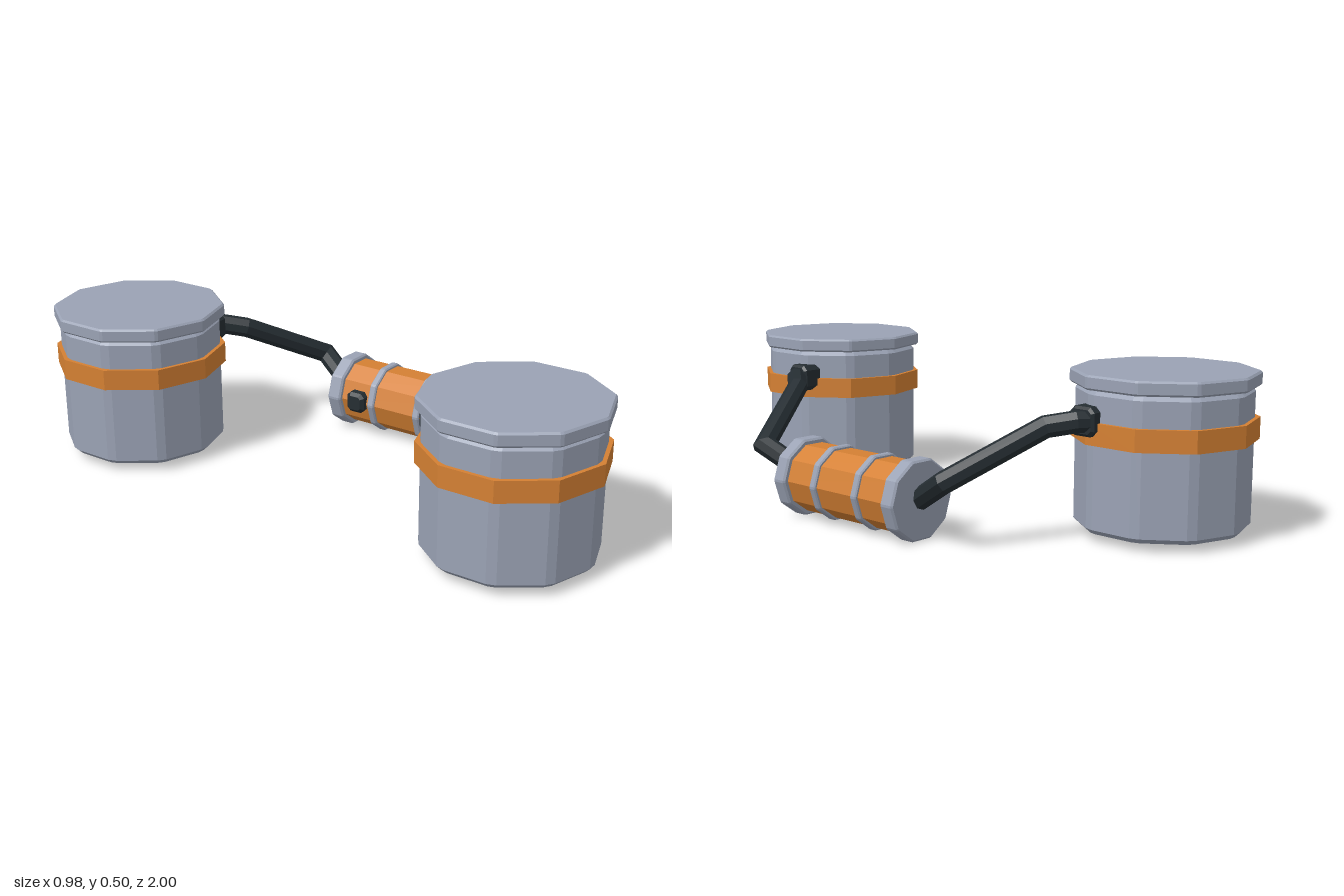
import * as THREE from 'three';

const mat = (name, color) => Object.assign(new THREE.MeshStandardMaterial({ color }), { name });

// regular polygon outline with its corners cut by c
function polygon(n, r, c = 0, turn = 0, Type = THREE.Shape) {
  const corner = i => {
    const a = turn + (i / n) * Math.PI * 2;
    return new THREE.Vector2(r * Math.cos(a), r * Math.sin(a));
  };
  const pts = [];
  for (let i = 0; i < n; i++) {
    const p = corner(i);
    if (!c) { pts.push(p); continue; }
    for (const j of [i - 1, i + 1]) {
      const toward = corner(j).sub(p).normalize();
      pts.push(p.clone().addScaledVector(toward, c));
    }
  }
  return new Type(pts);
}

// prism along z from z0 to z1 with bevelled ends
function prism(shape, z0, z1, bevel = 0) {
  const g = new THREE.ExtrudeGeometry(shape, {
    depth: z1 - z0 - 2 * bevel, bevelEnabled: bevel > 0, bevelSegments: 1,
    bevelSize: bevel, bevelThickness: bevel, bevelOffset: -bevel,
  });
  return g.translate(0, 0, z0 + bevel);
}

// faceted pipe with mitred corners along a list of points
function mitredPipe(points, r, n) {
  const dirs = points.slice(1).map((p, i) => p.clone().sub(points[i]).normalize());
  const u = new THREE.Vector3(0, 1, 0).cross(dirs[0]).normalize();
  const v = dirs[0].clone().cross(u);
  let ring = [];
  for (let i = 0; i < n; i++) {
    const a = ((i + 0.5) / n) * Math.PI * 2;
    ring.push(points[0].clone().addScaledVector(u, r * Math.cos(a)).addScaledVector(v, r * Math.sin(a)));
  }
  const pos = [];
  const tri = (...ps) => ps.forEach(p => pos.push(p.x, p.y, p.z));
  ring.forEach((p, i) => tri(points[0], ring[(i + 1) % n], p));
  for (let k = 1; k < points.length; k++) {
    const d = dirs[k - 1];
    const normal = d.clone().add(dirs[k] || d).normalize();
    const next = ring.map(p => {
      const t = points[k].clone().sub(p).dot(normal) / d.dot(normal);
      return p.clone().addScaledVector(d, t);
    });
    for (let i = 0; i < n; i++) {
      const j = (i + 1) % n;
      tri(ring[i], ring[j], next[j]);
      tri(ring[i], next[j], next[i]);
    }
    ring = next;
  }
  const end = points[points.length - 1];
  ring.forEach((p, i) => tri(end, p, ring[(i + 1) % n]));
  const g = new THREE.BufferGeometry();
  g.setAttribute('position', new THREE.Float32BufferAttribute(pos, 3));
  g.computeVertexNormals();
  return g;
}

export function createModel() {
  const grey = mat('grey metal', 0x9aa2b4);
  const orange = mat('orange paint', 0xd48033);
  const black = mat('black rubber', 0x252d32);
  const model = new THREE.Group();
  const add = (parent, name, geo, material) => {
    const m = new THREE.Mesh(geo, material);
    m.name = name;
    parent.add(m);
    return m;
  };
  const up = Math.PI / 2;

  // two canisters, each with a lid and a painted band
  for (const s of [1, -1]) {
    const can = new THREE.Group();
    can.name = s > 0 ? 'frontCanister' : 'backCanister';
    can.position.set(-0.216, 0, 0.716 * s);
    const upright = (name, geo, m) => add(can, name, geo.rotateX(-up), m);
    upright('canBody', prism(polygon(10, 0.27, 0.016, up), 0.025, 0.456, 0.015), grey);
    upright('canLid', prism(polygon(10, 0.2855, 0.006, up), 0.456, 0.5, 0.006), grey);
    const band = polygon(10, 0.283, 0, up);
    band.holes.push(polygon(10, 0.262, 0, up, THREE.Path));
    upright('canBand', prism(band, 0.295, 0.362), orange);
    model.add(can);

    // pipe socket on the canister and pipe down to the roller
    const socket = add(model, 'pipeSocket',
      prism(polygon(4, 0.062, 0.016, Math.PI / 4), -0.04, 0.035, 0.008), black);
    socket.rotation.y = up;
    socket.position.set(0.04, 0.366, 0.628 * s);
    const path = [[0.05, 0.366, 0.642], [0.085, 0.366, 0.62], [0.14, 0.35, 0.55],
      [0.41, 0.205, 0.4], [0.358, 0.122, 0.25]];
    add(model, 'pipe', mitredPipe(path.map(([x, y, z]) => new THREE.Vector3(x, y, z * s)), 0.034, 8), black);
  }

  // central cylinder lying along z
  const roller = new THREE.Group();
  roller.name = 'centreCylinder';
  roller.position.set(0.361, 0.122, 0);
  add(roller, 'cylinderBody', prism(polygon(10, 0.111), -0.225, 0.225), orange);
  for (const s of [1, -1]) {
    const cap = add(roller, 'endCap', prism(polygon(10, 0.128, 0.004), -0.026, 0.026, 0.006), grey);
    cap.position.z = 0.241 * s;
    const ring = add(roller, 'ring', prism(polygon(10, 0.121, 0.004), -0.013, 0.013, 0.004), grey);
    ring.position.z = 0.092 * s;
    // bevelled plugs on the right side
    const plug = add(roller, 'plug',
      prism(polygon(4, 0.05, 0.014, Math.PI / 4), 0, 0.055, 0.011), black);
    plug.rotation.y = -up;
    plug.position.set(-0.079, 0.004, 0.149 * s);
  }
  model.add(roller);
  return model;
}
